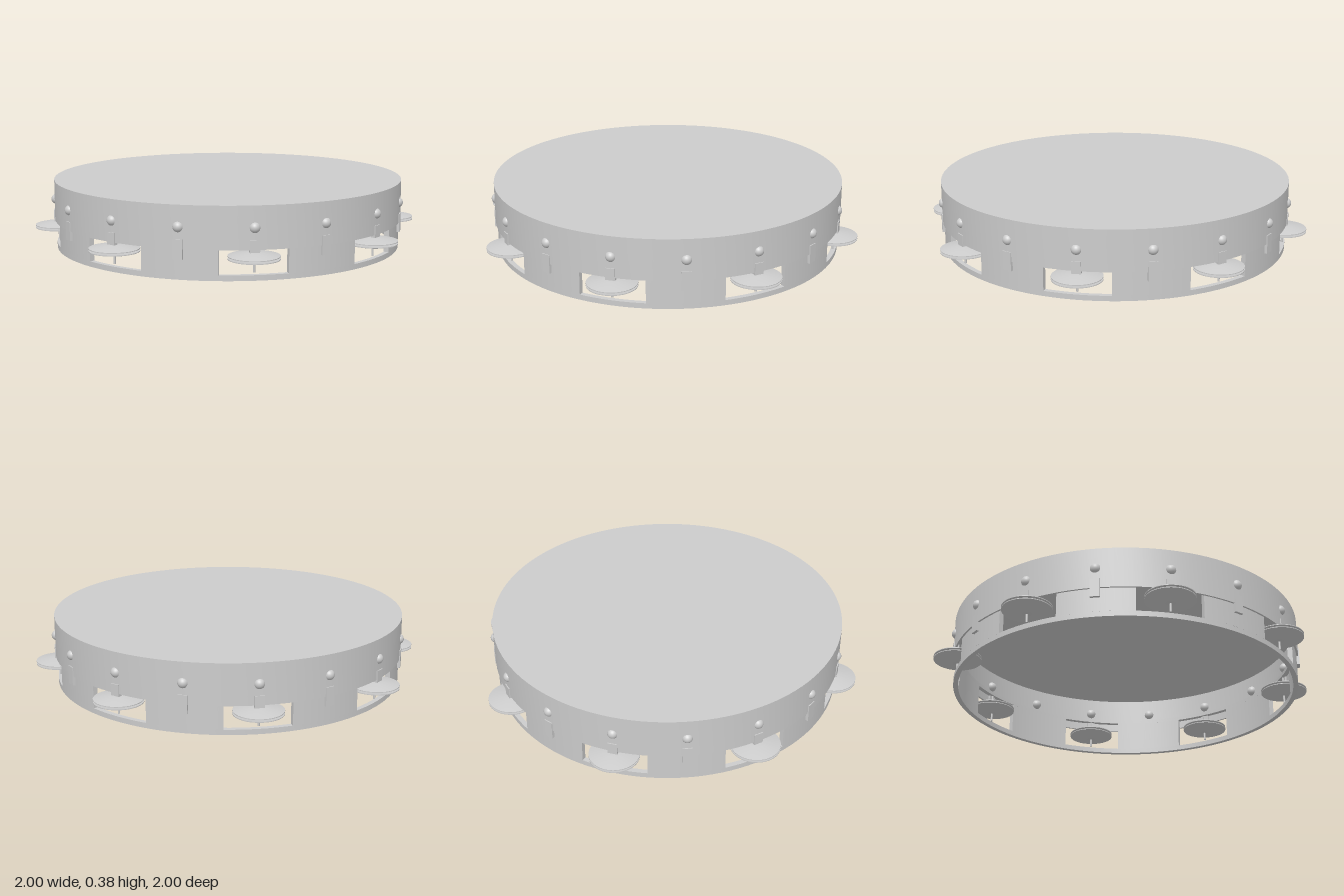
import * as THREE from 'three';
import { toCreasedNormals } from 'three/addons/utils/BufferGeometryUtils.js';

const RIM_OUT = 0.955, RIM_IN = 0.928, COLLAR = 0.965, JINGLE_R = 0.942;
const STEP = Math.PI / 8;

export function createModel() {
  const model = new THREE.Group();
  model.name = 'tambourine';
  const grey = new THREE.MeshStandardMaterial({ color: 0xcccccc });
  grey.name = 'plain grey';

  const add = (parent, name, geometry, x = 0, y = 0, z = 0) => {
    const mesh = new THREE.Mesh(geometry, grey);
    mesh.name = name;
    mesh.position.set(x, y, z);
    parent.add(mesh);
    return mesh;
  };
  const lathe = (points, segments) => toCreasedNormals(
    new THREE.LatheGeometry(points.map(([x, y]) => new THREE.Vector2(x, y)), segments), 0.5);

  // Closed ring of the wooden frame between two heights
  const ring = (y0, y1) => lathe([[RIM_IN, y0], [RIM_OUT, y0], [RIM_OUT, y1], [RIM_IN, y1], [RIM_IN, y0]], 128);

  // Curved wall section centred on +z
  const wall = (half, y0, y1) => {
    const shape = new THREE.Shape();
    const mid = -Math.PI / 2;
    shape.absarc(0, 0, RIM_OUT, mid - half, mid + half, false);
    shape.absarc(0, 0, RIM_IN, mid + half, mid - half, true);
    shape.closePath();
    const geometry = new THREE.ExtrudeGeometry(shape, { depth: y1 - y0, bevelEnabled: false, curveSegments: 12 });
    geometry.rotateX(-Math.PI / 2).translate(0, y0, 0);
    return toCreasedNormals(geometry, 0.5);
  };

  // Frame: two rings joined by eight walls, leaving the jingle slots open
  add(model, 'frameBottomRing', ring(0, 0.028));
  add(model, 'frameTopRing', ring(0.2, 0.22));
  const wallGeometry = wall(THREE.MathUtils.degToRad(12), 0.028, 0.2);
  for (let i = 0; i < 8; i++) add(model, 'frameWall', wallGeometry).rotation.y = i * Math.PI / 4;

  // Drum head folded down over the frame
  add(model, 'drumHead', lathe([
    [0, 0.36], [0.955, 0.36], [0.955, 0.155], [COLLAR, 0.155], [COLLAR, 0.375], [0, 0.375],
  ], 128));

  // Clips and studs all round, jingle pairs in the slots
  const clip = new THREE.BoxGeometry(0.05, 0.1, 0.025);
  const stud = new THREE.SphereGeometry(0.028, 24, 16);
  const pin = new THREE.CylinderGeometry(0.006, 0.006, 0.165, 12);
  const cymbal = lathe([
    [0, 0.018], [0.05, 0.013], [0.1, 0.005], [0.13, 0], [0.13, 0.004],
    [0.1, 0.011], [0.05, 0.02], [0, 0.025],
  ], 48);
  for (let i = 0; i < 16; i++) {
    const station = new THREE.Group();
    station.name = i % 2 ? 'jingleStation' : 'clipStation';
    station.rotation.y = i * STEP;
    add(station, 'clip', clip, 0, 0.155, 0.9575);
    add(station, 'stud', stud, 0, 0.265, 0.955);
    if (i % 2) {
      add(station, 'pin', pin, 0, 0.1225, JINGLE_R);
      add(station, 'upperJingle', cymbal, 0, 0.12, JINGLE_R);
      add(station, 'lowerJingle', cymbal, 0, 0.11, JINGLE_R).rotation.z = Math.PI;
    }
    model.add(station);
  }
  return model;
}
